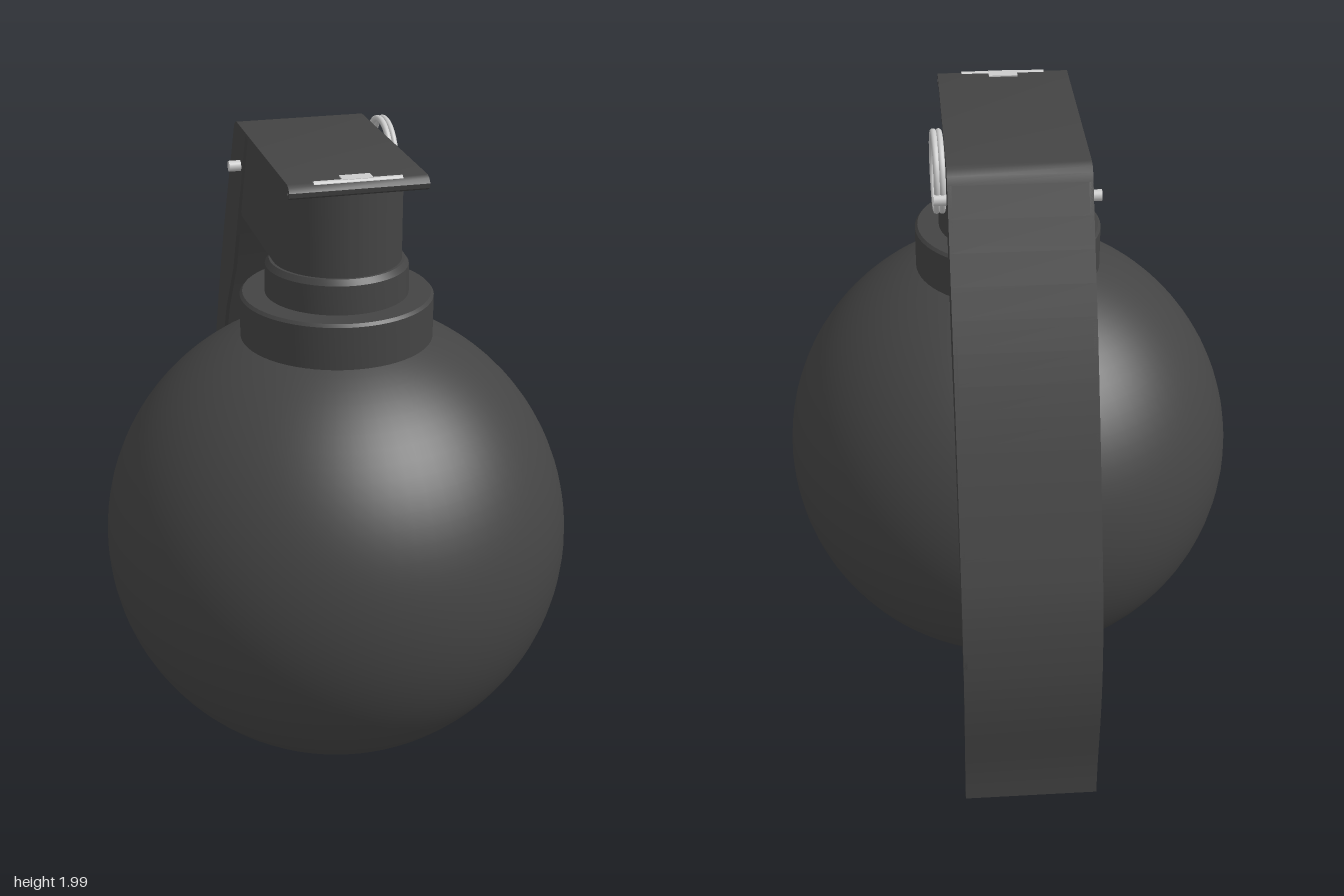
import * as THREE from 'three';
import { toCreasedNormals } from 'three/addons/utils/BufferGeometryUtils.js';

const dark = new THREE.MeshStandardMaterial({ color: 0x444444 });
const steel = new THREE.MeshStandardMaterial({ color: 0xcccccc });
const AXIS_Z = 0.165; // body axis
const HALF_W = 0.205; // half width of the lever

export function createModel() {
  const group = new THREE.Group();

  const add = (name, geometry, material, x = 0, y = 0, z = 0) => {
    const mesh = new THREE.Mesh(geometry, material);
    mesh.name = name;
    mesh.position.set(x, y, z);
    group.add(mesh);
    return mesh;
  };

  // Side outline given as [z, y] points, extruded across x and centred
  const sideExtrude = (points, width) => {
    const shape = new THREE.Shape(points.map(([z, y]) => new THREE.Vector2(-z, y)));
    const geo = new THREE.ExtrudeGeometry(shape, { depth: width, bevelEnabled: false });
    geo.translate(0, 0, -width / 2).rotateY(Math.PI / 2);
    return toCreasedNormals(geo, 0.6);
  };

  // Bar lying along x
  const barX = (radius, length) =>
    new THREE.CylinderGeometry(radius, radius, length, 20).rotateZ(Math.PI / 2);

  // Round body
  add('body', new THREE.SphereGeometry(0.735, 72, 48), dark, 0, 0.742, AXIS_Z);

  // Stepped collar and neck
  const neckProfile = [
    [0.295, 1.36], [0.295, 1.547], [0.287, 1.556], [0.219, 1.556],
    [0.217, 1.645], [0.205, 1.662], [0, 1.662],
  ].map(([r, y]) => new THREE.Vector2(r, y));
  add('neck', toCreasedNormals(new THREE.LatheGeometry(neckProfile, 64), 0.5), dark, 0, 0, AXIS_Z);

  // Head: round at the front, square at the back
  const r = 0.196;
  const headShape = new THREE.Shape();
  headShape.moveTo(r, 0.30);
  headShape.lineTo(r, -AXIS_Z);
  headShape.absarc(0, -AXIS_Z, r, 0, -Math.PI, true);
  headShape.lineTo(-r, 0.30);
  const headGeo = new THREE.ExtrudeGeometry(headShape, { depth: 0.295, bevelEnabled: false, curveSegments: 32 });
  headGeo.rotateX(-Math.PI / 2);
  add('head', toCreasedNormals(headGeo, 0.5), dark, 0, 1.66, 0);

  // Lever: bent sheet with a hooked front lip and a curved tail
  const tail = new THREE.CatmullRomCurve3([
    [-0.35, 1.925], [-0.60, 1.45], [-0.80, 0.98], [-0.867, 0.79],
    [-0.896, 0.60], [-0.895, 0.44], [-0.865, 0.19], [-0.858, 0.066],
  ].map(([z, y]) => new THREE.Vector3(0, y, z))).getPoints(40).map((p) => [p.z, p.y]);
  const outer = [
    [0.388, 1.929], [0.405, 1.926], [0.419, 1.934], [0.422, 1.948], [0.412, 1.961],
    [0.395, 1.967], [-0.30, 1.967], [-0.322, 1.961], [-0.338, 1.947], ...tail,
  ];
  // Offset every point inward by the sheet thickness
  const inner = outer.map(([z, y], i) => {
    const a = outer[Math.max(i - 1, 0)];
    const b = outer[Math.min(i + 1, outer.length - 1)];
    const dz = b[0] - a[0], dy = b[1] - a[1];
    const k = 0.012 / Math.hypot(dz, dy);
    return [z - dy * k, y + dz * k];
  });
  add('lever', sideExtrude([...outer, ...inner.reverse()], HALF_W * 2), dark);

  // Side flanges of the lever
  const flange = [
    [-0.165, 1.96], [-0.30, 1.962], [-0.336, 1.944],
    ...tail.filter(([, y]) => y > 0.62),
    [-0.885, 0.61], [-0.872, 0.60], [-0.55, 1.25], [-0.41, 1.44],
  ];
  for (const side of [1, -1]) {
    add(side > 0 ? 'leftFlange' : 'rightFlange', sideExtrude(flange, 0.012), dark, side * (HALF_W - 0.006));
  }

  // Hinge bar and tab at the front lip
  add('hingeBar', barX(0.011, 0.26), steel, 0, 1.96, 0.395);
  add('hingeTab', new THREE.BoxGeometry(0.09, 0.022, 0.045), steel, 0, 1.96, 0.377);

  // Cross pin through the head
  add('safetyPin', barX(0.017, 0.485), steel, 0, 1.838, -0.255);

  // Pull ring: two coils of wire
  const coil = new THREE.TorusGeometry(0.114, 0.0095, 12, 64).rotateY(Math.PI / 2);
  for (const x of [0.218, 0.234]) {
    add('pullRing', coil, steel, x, 1.875, -0.138).rotation.y = 0.03;
  }

  return group;
}
